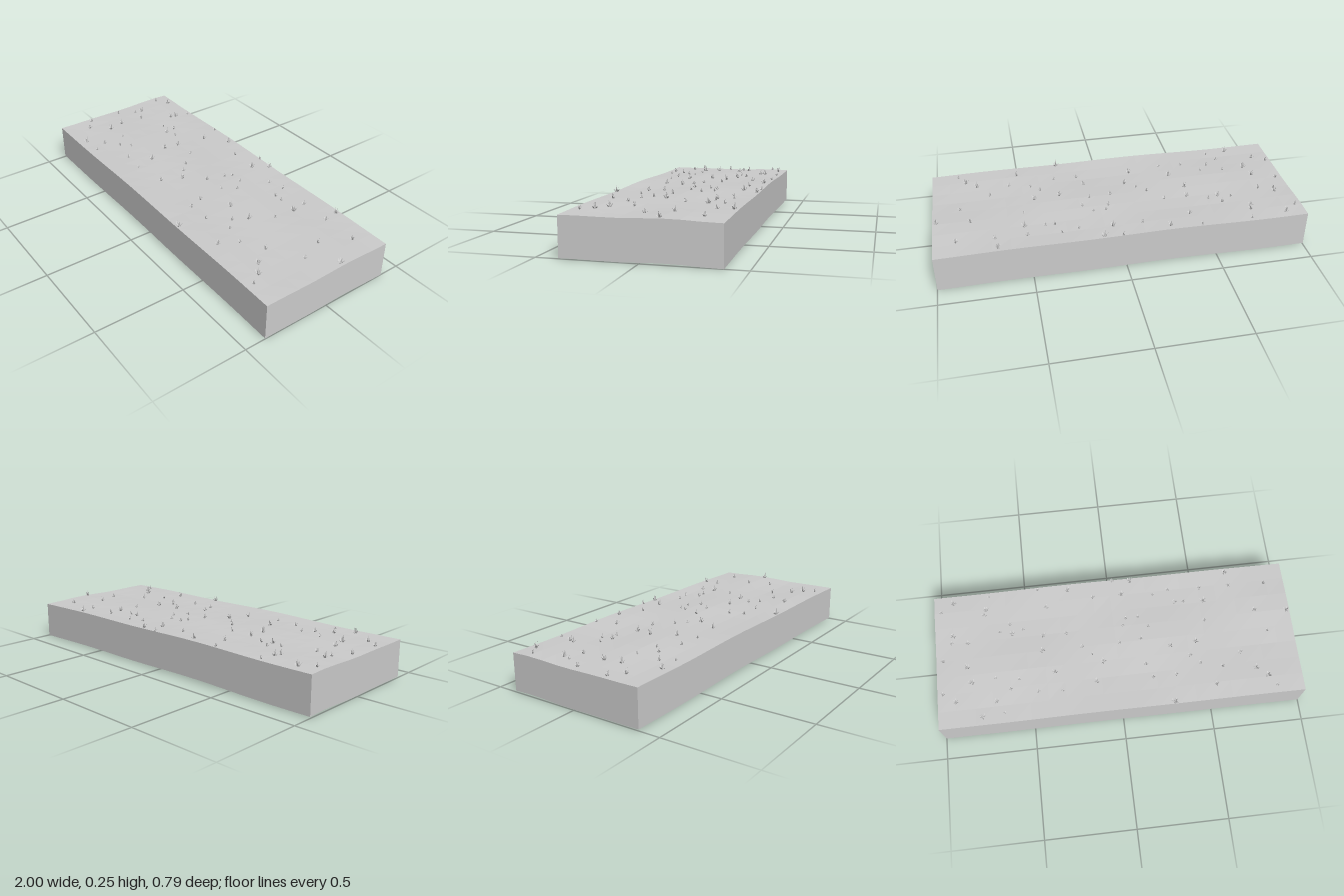
import * as THREE from 'three';
import { mergeGeometries } from 'three/addons/utils/BufferGeometryUtils.js';

const WIDTH = 2, DEPTH = 0.77, THICK = 0.2;

// Tuft positions on the ground as x, z in hundredths
const SPOTS = [
  -89, -34, -69, -36, -41, -37, -24, -35, 2, -38, 12, -37, 67, -36, -96, -29, -71, -28, -72, -25,
  -37, -26, -10, -29, 6, -29, 24, -27, 33, -29, 51, -28, 68, -28, 88, -27, -91, -10, -90, -14,
  -82, -9, -64, -14, -58, -18, -57, -12, -51, -14, -40, -9, -27, -9, 7, -14, 5, -10, 14, -14,
  19, -8, 36, -21, 41, -21, 52, -20, 51, -8, 80, -11, 98, -9, -96, 0, -83, 5, -41, 0,
  -19, 0, -14, 5, 2, 0, 14, -1, 30, 5, 44, 4, 85, 2, -97, 19, -90, 24, -81, 14,
  -68, 13, -55, 15, -60, 20, -68, 26, -76, 34, -64, 33, -45, 23, -35, 13, -32, 24, -13, 21,
  -8, 10, 15, 14, 18, 22, 28, 37, 31, 22, 40, 12, 45, 17, 52, 30, 57, 20, 68, 13,
  75, 23, 81, 28, 85, 34,
];

function seeded(seed) {
  return () => {
    seed = (seed * 16807) % 2147483647;
    return seed / 2147483647;
  };
}

// Gentle rise and fall shared by the top and the underside
function rise(x, z) {
  return 0.008 + 0.002 * Math.cos(3 * x + 0.2) + 0.0025 * Math.sin(7 * x - 9 * z)
    + 0.002 * Math.cos(15 * z + 2 * x) - 0.001 * x;
}

function makeGround() {
  const geo = new THREE.BoxGeometry(WIDTH, THICK, DEPTH, 20, 1, 8);
  const p = geo.attributes.position;
  for (let i = 0; i < p.count; i++) {
    p.setY(i, p.getY(i) + THICK / 2 + rise(p.getX(i), p.getZ(i)));
  }
  const ground = new THREE.Mesh(geo, new THREE.MeshStandardMaterial({ color: 0xcccccc, flatShading: true }));
  ground.name = 'groundSlab';
  return ground;
}

// A folded leaf that widens, bends outward and ends in a point
function makeBlade(length, width, lean) {
  const geo = new THREE.PlaneGeometry(1, 1, 2, 3);
  const p = geo.attributes.position;
  const half = [0.35, 0.5, 0.34, 0];
  for (let i = 0; i < p.count; i++) {
    const t = p.getY(i) + 0.5;
    const side = p.getX(i) * 2;
    const w = half[Math.round(t * 3)] * width;
    p.setXYZ(i, side * w, t * length, lean * t * t + Math.abs(side) * w * 0.4);
  }
  return geo;
}

// A ring of outer blades around a few upright ones
function makeTuft(random) {
  const blades = [];
  const count = 8 + Math.floor(random() * 4);
  for (let i = 0; i < count; i++) {
    const inner = i % 3 === 0;
    const length = (inner ? 0.03 : 0.017) * (0.75 + random() * 0.5);
    const blade = makeBlade(length, 0.007, inner ? 0.005 : 0.013);
    blade.translate(0, -0.002, inner ? 0.002 : 0.005);
    blade.rotateY((i / count) * Math.PI * 2 + random() * 0.4);
    blades.push(blade);
  }
  return mergeGeometries(blades);
}

export function createModel() {
  const model = new THREE.Group();
  model.name = 'grassyGround';
  model.add(makeGround());

  const random = seeded(41);
  const kinds = Array.from({ length: 5 }, () => makeTuft(random));
  const grass = new THREE.MeshStandardMaterial({ color: 0xcccccc, flatShading: true, side: THREE.DoubleSide });
  const tufts = new THREE.Group();
  tufts.name = 'grassTufts';
  for (let i = 0; i < SPOTS.length; i += 2) {
    const x = THREE.MathUtils.clamp(SPOTS[i] / 100, -0.98, 0.98);
    const z = SPOTS[i + 1] / 100;
    const tuft = new THREE.Mesh(kinds[(i / 2) % kinds.length], grass);
    tuft.name = 'grassTuft';
    tuft.position.set(x, THICK + rise(x, z), z);
    tuft.rotation.y = random() * Math.PI * 2;
    tuft.scale.setScalar(0.6 + random() * 0.6);
    tufts.add(tuft);
  }
  model.add(tufts);
  return model;
}
